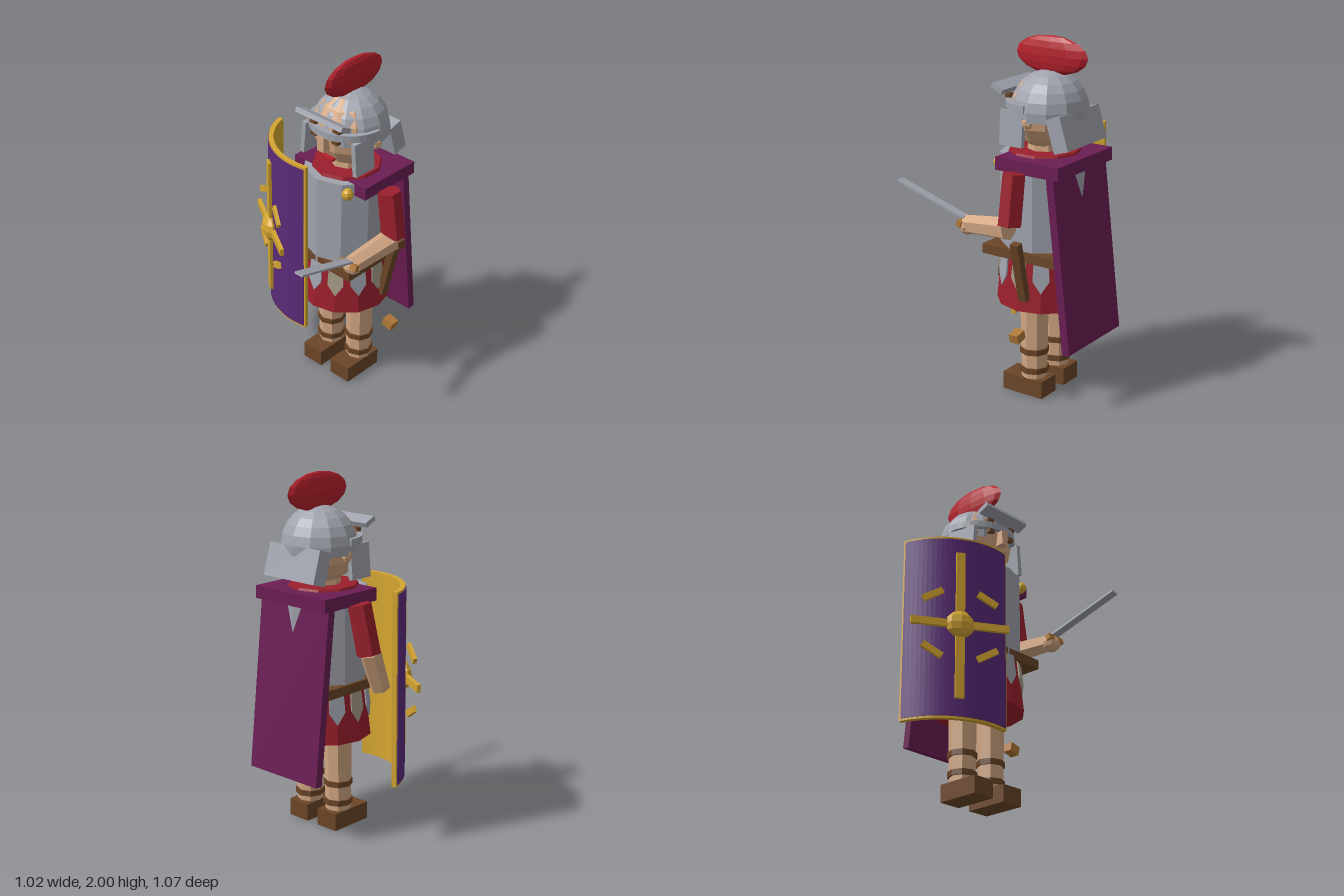
import * as THREE from 'three';

const mat = (name, color) => {
  const m = new THREE.MeshStandardMaterial({ color, flatShading: true });
  m.name = name;
  return m;
};

export function createModel() {
  const steel = mat('steel', 0xa0a3ad), skin = mat('skin', 0xd2a682), brown = mat('brown leather', 0x6b4628);
  const red = mat('red cloth', 0x9b1f2c), crestRed = mat('crest red', 0xb5202c), cape = mat('cape purple', 0x6b1d54);
  const violet = mat('shield violet', 0x5a2a78), gold = mat('gold', 0xd4a531), tan = mat('tan', 0xb07838);
  const bone = mat('warm grey', 0xa89c88);
  const model = new THREE.Group();
  model.name = 'soldier';

  const add = (name, geo, material, p = [0, 0, 0], r = [0, 0, 0], parent = model) => {
    const m = new THREE.Mesh(geo, material);
    m.name = name;
    m.position.set(...p);
    m.rotation.set(...r);
    parent.add(m);
    return m;
  };
  const box = (name, s, material, p, r, parent) => add(name, new THREE.BoxGeometry(...s), material, p, r, parent);
  const ball = (name, s, material, p, w = 8, h = 6, parent = model) =>
    add(name, new THREE.SphereGeometry(1, w, h).scale(...s), material, p, [0, 0, 0], parent);
  const cyl = (name, rt, rb, h, n, material, p) => add(name, new THREE.CylinderGeometry(rt, rb, h, n), material, p);
  // tapered limb between two points
  const limb = (name, a, b, ra, rb, material) => {
    const A = new THREE.Vector3(...a), B = new THREE.Vector3(...b), d = A.clone().sub(B);
    const m = add(name, new THREE.CylinderGeometry(ra, rb, d.length(), 6), material);
    m.position.copy(A).add(B).multiplyScalar(0.5);
    m.quaternion.setFromUnitVectors(new THREE.Vector3(0, 1, 0), d.normalize());
  };
  const X = 0.1, Z = -0.2;

  // legs and boots
  for (const s of [-1, 1]) {
    const x = X + s * 0.11;
    box('boot', [0.14, 0.1, 0.26], brown, [x, 0.05, -0.175]);
    cyl('leg', 0.08, 0.072, 0.5, 8, skin, [x, 0.35, -0.21]);
    for (const y of [0.148, 0.26]) cyl('legStrap', 0.083, 0.083, 0.032, 8, brown, [x, y, -0.21]);
  }

  // tunic skirt with hanging pointed strips
  cyl('skirt', 0.23, 0.264, 0.31, 12, red, [X, 0.685, Z]);
  const strip = new THREE.Shape();
  strip.moveTo(-0.04, 0).lineTo(-0.046, -0.12).lineTo(0, -0.19).lineTo(0.046, -0.12).lineTo(0.04, 0).closePath();
  const stripGeo = new THREE.ExtrudeGeometry(strip, { depth: 0.008, bevelEnabled: false });
  stripGeo.rotateX(-0.11).translate(0, 0, 0.232);
  for (let k = 0; k < 12; k++)
    add('skirtStrip', stripGeo, k % 2 ? bone : steel, [X, 0.83, Z], [0, k * Math.PI / 6, 0]);

  // torso, belt, collar
  cyl('breastplate', 0.242, 0.242, 0.54, 10, steel, [X, 1.1, Z]);
  box('belt', [0.495, 0.054, 0.48], brown, [X, 0.838, Z]);
  cyl('collar', 0.19, 0.205, 0.04, 10, red, [X, 1.368, Z]);
  cyl('neck', 0.09, 0.1, 0.1, 8, skin, [X, 1.4, Z]);

  // cape
  box('capeShoulders', [0.525, 0.072, 0.4], cape, [X, 1.338, -0.26]);
  box('capeBack', [0.51, 1.0, 0.045], cape, [X, 0.84, -0.455], [0.115, 0, 0]);
  ball('brooch', [0.033, 0.035, 0.033], gold, [0.27, 1.32, -0.02]);

  // head and face
  ball('head', [0.2, 0.21, 0.185], skin, [X, 1.6, -0.2], 10, 8);
  box('nose', [0.046, 0.09, 0.05], skin, [X, 1.575, -0.01]);
  box('mouth', [0.08, 0.016, 0.03], crestRed, [X, 1.467, -0.048]);
  for (const s of [-1, 1]) {
    box('eye', [0.04, 0.022, 0.03], brown, [X + s * 0.078, 1.602, -0.025]);
    box('brow', [0.045, 0.022, 0.03], brown, [X + s * 0.085, 1.67, -0.028]);
    ball('ear', [0.025, 0.038, 0.03], skin, [X + s * 0.195, 1.565, -0.22], 6, 5);
    box('cheekGuard', [0.028, 0.19, 0.145], steel, [X + s * 0.187, 1.52, -0.118], [0, 0, s * 0.08]);
  }

  // helmet
  add('helmetDome', new THREE.SphereGeometry(0.218, 12, 7, 0, Math.PI * 2, 0, Math.PI * 0.55).scale(1, 1, 0.96), steel, [X, 1.602, -0.23]);
  const arc = new THREE.Shape();
  arc.absarc(0, 0, 0.222, 0, Math.PI, false);
  arc.absarc(0, 0, 0.19, Math.PI, 0, true);
  add('helmetBand', new THREE.ExtrudeGeometry(arc, { depth: 0.04, bevelEnabled: false, curveSegments: 8 }).rotateX(Math.PI / 2), steel, [X, 1.656, -0.212]);
  box('visor', [0.335, 0.028, 0.075], steel, [X, 1.715, -0.003], [-0.45, 0, 0]);
  box('neckGuard', [0.375, 0.185, 0.09], steel, [X, 1.52, -0.4], [0.3, 0, 0]);
  cyl('crestHolder', 0.024, 0.024, 0.06, 8, steel, [X, 1.81, -0.225]);
  ball('crest', [0.035, 0.105, 0.226], crestRed, [X, 1.895, -0.24], 12, 8);

  // sword arm
  limb('leftSleeve', [0.4, 1.315, -0.21], [0.442, 1.04, -0.21], 0.066, 0.068, red);
  limb('leftForearm', [0.437, 1.02, -0.2], [0.412, 0.985, 0.09], 0.064, 0.052, skin);
  ball('leftHand', [0.056, 0.05, 0.052], skin, [0.412, 0.977, 0.085]);
  box('swordGuard', [0.12, 0.035, 0.03], tan, [0.41, 0.995, 0.11], [-0.33, 0, 0]);
  box('swordBlade', [0.052, 0.012, 0.45], steel, [0.428, 1.093, 0.322], [-0.335, 0.08, 0]);

  // shield arm
  limb('rightSleeve', [-0.185, 1.315, -0.22], [-0.236, 1.04, -0.2], 0.066, 0.068, red);
  limb('rightForearm', [-0.236, 1.05, -0.19], [-0.24, 0.83, -0.11], 0.062, 0.055, skin);

  // scabbard and its loose tip
  box('scabbard', [0.042, 0.35, 0.05], brown, [0.39, 0.77, -0.24], [0, 0, -0.22]);
  box('scabbardTip', [0.068, 0.052, 0.056], tan, [0.42, 0.413, -0.242], [0, 0, -0.25]);

  // curved shield, built around its cylinder axis
  const shield = new THREE.Group();
  shield.name = 'shield';
  shield.position.set(-0.0535, 0.885, -0.341);
  shield.rotation.y = -0.539;
  model.add(shield);
  const curved = (name, R, r, half, h, material) => {
    const s = new THREE.Shape(), q = Math.PI / 2;
    s.absarc(0, 0, R, q - half, q + half, false);
    s.absarc(0, 0, r, q + half, q - half, true);
    const g = new THREE.ExtrudeGeometry(s, { depth: h, bevelEnabled: false, curveSegments: 12 });
    add(name, g.rotateX(q).translate(0, h / 2, 0), material, [0, 0, 0], [0, 0, 0], shield);
  };
  curved('shieldBody', 0.424, 0.396, 0.775, 1.08, gold);
  curved('shieldFace', 0.428, 0.42, 0.745, 1.055, violet);
  box('shieldBarUpright', [0.05, 0.865, 0.022], gold, [0, 0.003, 0.434], [0, 0, 0], shield);
  box('shieldBarCross', [0.55, 0.042, 0.022], gold, [0, 0, 0.434], [0, 0, 0], shield);
  ball('shieldBoss', [0.082, 0.08, 0.045], gold, [0, 0, 0.437], 8, 6, shield);
  for (const sx of [-1, 1]) for (const sy of [-1, 1])
    box('shieldRay', [0.125, 0.036, 0.02], gold, [sx * 0.154, sy * 0.165, 0.434], [0, 0, -sx * sy * 0.52], shield);

  return model;
}
